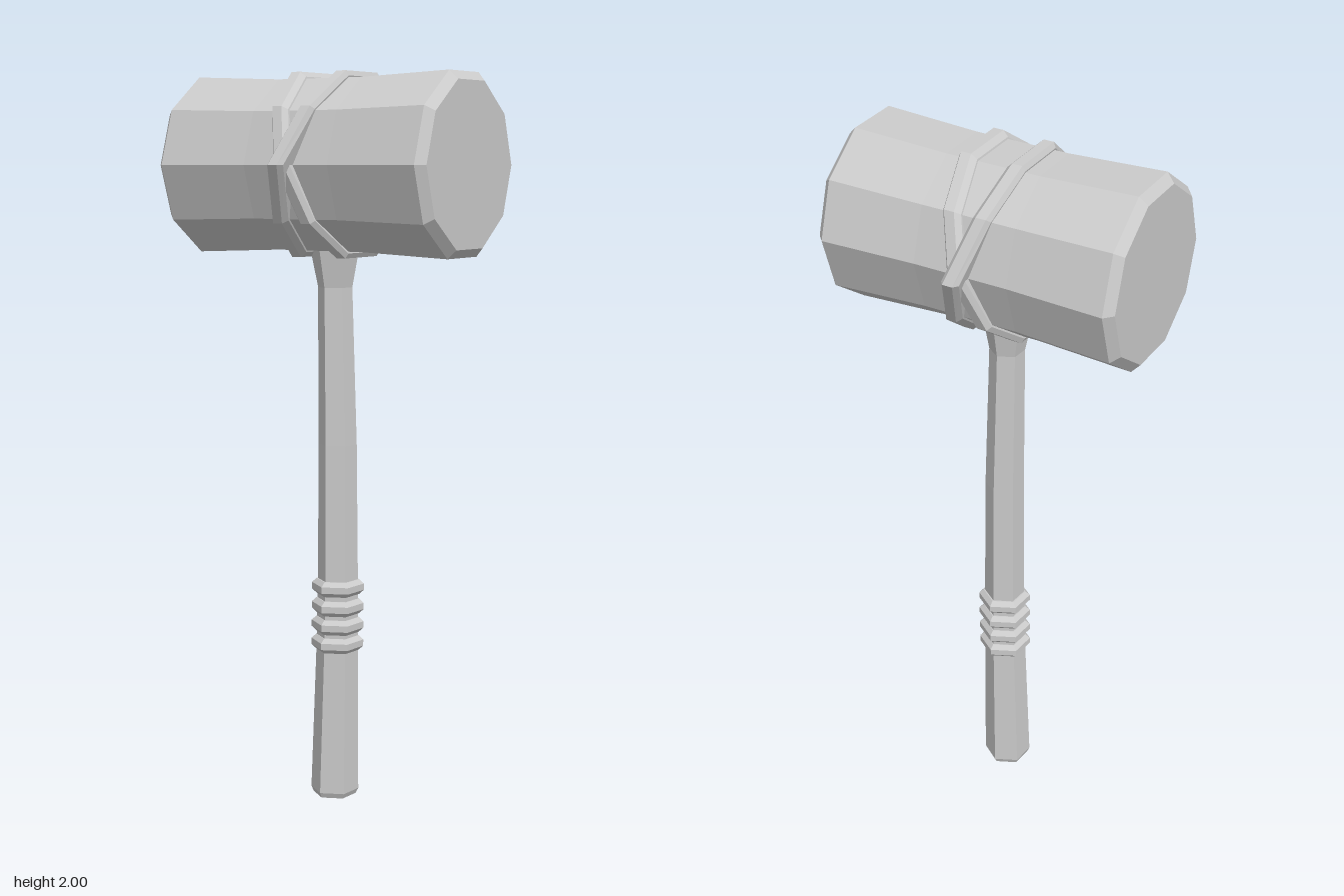
import * as THREE from 'three';

const HEAD_Y = 1.757;

function faceted(name, geometry) {
  const material = new THREE.MeshStandardMaterial({ color: 0xcccccc, flatShading: true });
  const mesh = new THREE.Mesh(geometry, material);
  mesh.name = name;
  return mesh;
}

function lathe(profile, sides, start = 0) {
  return new THREE.LatheGeometry(profile.map(([r, y]) => new THREE.Vector2(r, y)), sides, start);
}

// Moves every vertex by a rule
function warp(geometry, rule) {
  const pos = geometry.attributes.position;
  const v = new THREE.Vector3();
  for (let i = 0; i < pos.count; i++) {
    v.fromBufferAttribute(pos, i);
    rule(v);
    pos.setXYZ(i, v.x, v.y, v.z);
  }
  geometry.computeVertexNormals();
  return geometry;
}

// Slight sideways bow of the handle
const bow = (v) => { v.x += 0.011 * Math.sin(Math.PI * Math.min(1, v.y / 1.5)); };

// Binding strip round the head, leaning along x; frontTip and backTip set how
// far its corners stand out where the two strips cross
function binding(name, lean, frontTip, backTip) {
  const geometry = lathe([
    [0.215, -0.025], [0.243, -0.025], [0.257, -0.014],
    [0.257, 0.014], [0.243, 0.025], [0.215, 0.025], [0.215, -0.025],
  ], 10);
  geometry.rotateZ(-Math.PI / 2);
  warp(geometry, (v) => {
    if (Math.abs(v.y) < 0.01 && Math.abs(v.z) > 0.23) {
      v.z += Math.sign(v.z) * ((v.z > 0 ? frontTip : backTip) - 0.257);
    }
    v.x += lean * v.y;
  });
  const mesh = faceted(name, geometry);
  mesh.position.y = HEAD_Y;
  return mesh;
}

export function createModel() {
  const group = new THREE.Group();

  // Ten-sided head, waisted in the middle, with bevelled ends
  const head = faceted('head', lathe([
    [0, -0.415], [0.226, -0.415], [0.25, -0.393], [0.238, -0.13],
    [0.238, 0.13], [0.25, 0.393], [0.226, 0.415], [0, 0.415],
  ], 10).rotateZ(-Math.PI / 2));
  head.position.y = HEAD_Y;
  group.add(head);

  // Crossed bindings
  group.add(binding('bindingRight', 0.29, 0.295, 0.266));
  group.add(binding('bindingLeft', -0.29, 0.266, 0.295));

  // Six-sided handle, flared under the head
  const twist = -0.09;
  group.add(faceted('handle', warp(lathe([
    [0, 0], [0.06, 0], [0.067, 0.015], [0.059, 0.42], [0.056, 0.62],
    [0.053, 1.0], [0.047, 1.43], [0.066, 1.53], [0.066, 1.58], [0, 1.58],
  ], 6, twist), bow)));

  // Raised grip rings
  [0.44, 0.492, 0.545, 0.6].forEach((y, i) => {
    group.add(faceted('gripRing' + (i + 1), warp(lathe([
      [0.045, y - 0.021], [0.06, y - 0.021], [0.073, y - 0.009],
      [0.073, y + 0.009], [0.06, y + 0.021], [0.045, y + 0.021],
    ], 6, twist), bow)));
  });

  return group;
}
